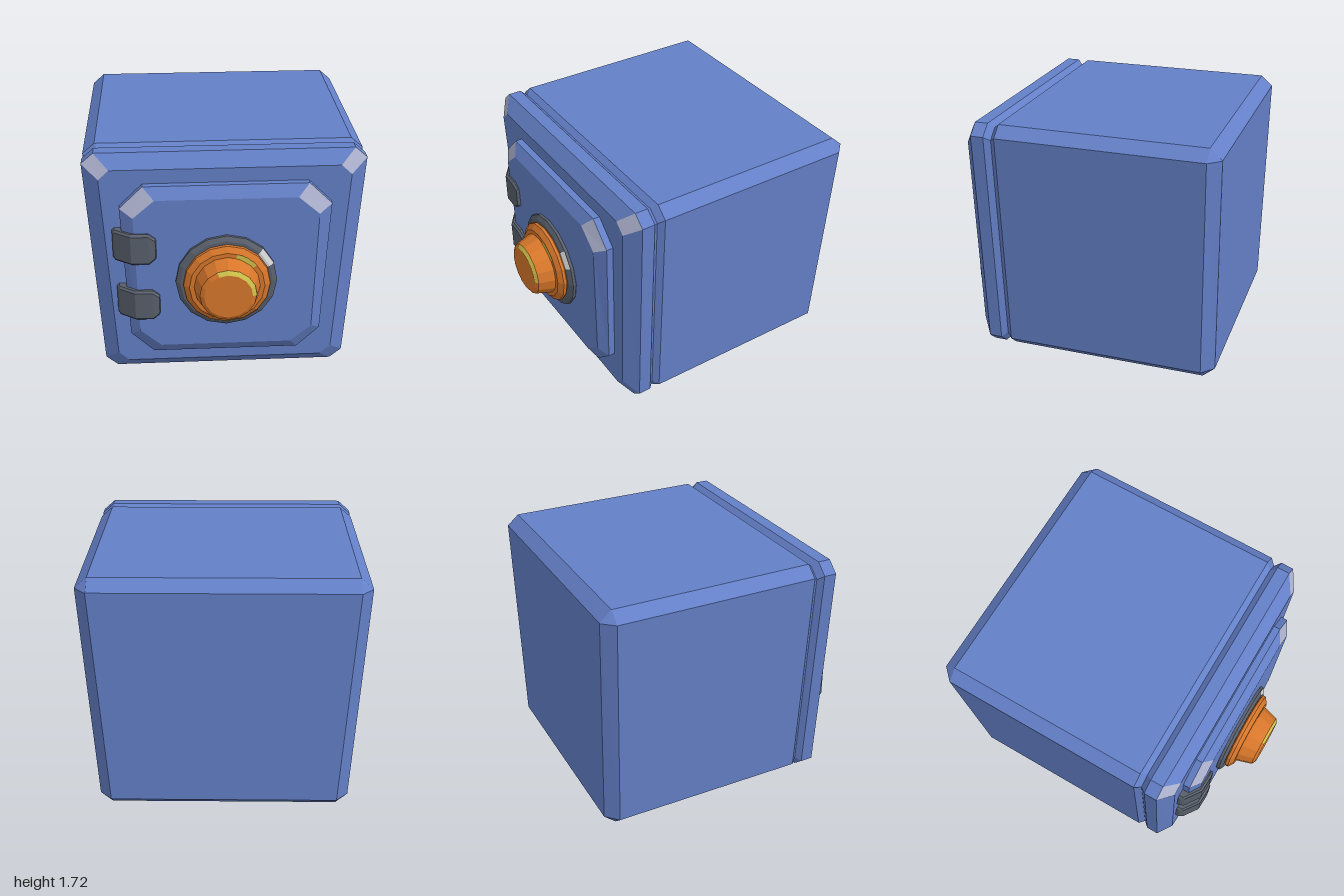
import * as THREE from 'three';

const paint = (name, color) => {
  const m = new THREE.MeshStandardMaterial({ color });
  m.name = name;
  return m;
};

// Faceted skin through convex loops, capped at both ends.
// Faces chosen by accent(loop, side) go to a second material group.
function loft(loops, accent = () => false) {
  const main = [], extra = [];
  const tri = (list, ...pts) => pts.forEach((p) => list.push(...p));
  const n = loops[0].length;
  for (let i = 0; i < loops.length - 1; i++) {
    for (let j = 0; j < n; j++) {
      const k = (j + 1) % n, out = accent(i, j) ? extra : main;
      tri(out, loops[i][j], loops[i][k], loops[i + 1][k]);
      tri(out, loops[i][j], loops[i + 1][k], loops[i + 1][j]);
    }
  }
  const first = loops[0], last = loops[loops.length - 1];
  for (let j = 1; j < n - 1; j++) {
    tri(main, first[0], first[j + 1], first[j]);
    tri(main, last[0], last[j], last[j + 1]);
  }
  const geo = new THREE.BufferGeometry();
  geo.setAttribute('position', new THREE.Float32BufferAttribute([...main, ...extra], 3));
  geo.addGroup(0, main.length / 3, 0);
  if (extra.length) geo.addGroup(main.length / 3, extra.length / 3, 1);
  geo.computeVertexNormals();
  return geo;
}

// Tapered rectangle with cut corners: half widths at top and bottom, y range, cut sizes
function octagon(wt, wb, y0, y1, cx, cy, z) {
  const right = [[wb - cx, y0], [wb, y0 + cy], [wt, y1 - cy], [wt - cx, y1]];
  const left = right.map(([x, y]) => [-x, y]).reverse();
  return [...right, ...left].map(([x, y]) => [x, y, z]);
}

// The front leans back slightly towards the bottom
const lean = (loop) => loop.map(([x, y, z]) => [x, y, z > 0 ? z - 0.0145 * (1.65 - y) : z]);
const topCorners = (step) => (i, j) => i === step && (j === 2 || j === 4);

export function createModel() {
  const group = new THREE.Group();
  const blue = paint('blue paint', 0x6480c8);
  const worn = paint('worn corner', 0xb0b5d2);
  const iron = paint('dark iron', 0x59606c);
  const orange = paint('orange dial', 0xd8772b);
  const yellow = paint('yellow glint', 0xcfc24a);
  const white = paint('pale glint', 0xd4d4d4);
  const grey = paint('grey feet', 0xb6b6b4);

  const add = (name, geo, mat, parent = group) => {
    const mesh = new THREE.Mesh(geo, mat);
    mesh.name = name;
    parent.add(mesh);
    return mesh;
  };

  // Body with a groove behind the front frame
  const outer = (z) => octagon(0.917, 0.835, 0.08, 1.72, 0.08, 0.07, z);
  const body = [
    octagon(0.84, 0.755, 0.15, 1.65, 0.002, 0.002, -1),
    outer(-0.92),
    outer(0.455),
    octagon(0.885, 0.803, 0.112, 1.688, 0.075, 0.065, 0.493),
    outer(0.53),
    outer(0.617),
    octagon(0.81, 0.74, 0.17, 1.63, 0.07, 0.065, 0.693),
  ].map(lean);
  add('body', loft(body, topCorners(5)), [blue, worn]);

  // Raised door panel
  const door = [
    octagon(0.685, 0.645, 0.275, 1.533, 0.152, 0.15, 0.66),
    octagon(0.685, 0.645, 0.275, 1.533, 0.152, 0.15, 0.738),
    octagon(0.6, 0.58, 0.353, 1.456, 0.14, 0.123, 0.788),
  ].map(lean);
  add('door', loft(door, topCorners(1)), [blue, worn]);

  // Bent hinges wrapping from the frame onto the door
  const section = (x, h, zb, zf, b = 0.015) => [
    [x, -h, zb], [x, h, zb], [x, h, zf - b], [x, h - b, zf], [x, -h + b, zf], [x, -h, zf - b],
  ];
  const hingeGeo = loft([
    section(-0.74, 0.098, 0.66, 0.71),
    section(-0.725, 0.111, 0.66, 0.735),
    section(-0.62, 0.111, 0.7, 0.808),
    section(-0.505, 0.111, 0.72, 0.812),
    section(-0.46, 0.075, 0.72, 0.806),
    section(-0.455, 0.065, 0.72, 0.79),
  ]);
  [[0, 1.112], [0.015, 0.69]].forEach(([x, y]) => {
    add('hinge', hingeGeo, iron).position.set(x, y, -0.004);
  });

  // Dial, turned around the z axis; profiles are [radius, z], arcs in degrees
  const dial = new THREE.Group();
  dial.name = 'dial';
  dial.position.y = 0.865;
  group.add(dial);
  const turn = (name, profile, mat, from = 0, to = 360, sides = 16) => {
    const rad = Math.PI / 180;
    const geo = new THREE.LatheGeometry(
      profile.map(([r, z]) => new THREE.Vector2(r, z)), sides, (from + 90) * rad, (to - from) * rad,
    ).rotateX(Math.PI / 2).toNonIndexed();
    geo.computeVertexNormals();
    add(name, geo, mat, dial);
  };
  turn('dial ring', [[0.32, 0.76], [0.335, 0.78], [0.335, 0.8], [0.305, 0.818], [0.2, 0.818]], iron);
  turn('dial flange', [[0.272, 0.81], [0.287, 0.825], [0.285, 0.845], [0.247, 0.872], [0.1, 0.872]], orange);
  turn('dial knob', [[0.218, 0.865], [0.212, 0.89], [0.184, 0.984], [0.157, 1], [0, 1]], orange);

  // Glints on the dial edges
  turn('ring glint', [[0.335, 0.803], [0.305, 0.821], [0.29, 0.821]], white, 22.5, 45, 1);
  turn('flange glint', [[0.247, 0.875], [0.21, 0.875]], yellow, 39, 75, 2);
  turn('knob glint', [[0.186, 0.985], [0.158, 1.002]], yellow, 0, 112.5, 5);

  // Feet, tapering downwards
  const footGeo = loft([
    octagon(0.16, 0.16, -0.16, 0.16, 0.05, 0.05, 0),
    octagon(0.157, 0.157, -0.157, 0.157, 0.05, 0.05, 0.02),
    octagon(0.131, 0.131, -0.131, 0.131, 0.045, 0.045, 0.09),
  ]).rotateX(Math.PI / 2);
  for (const x of [-0.403, 0.427]) {
    for (const z of [0.23, -0.652]) add('foot', footGeo, grey).position.set(x, 0.09, z);
  }

  return group;
}
